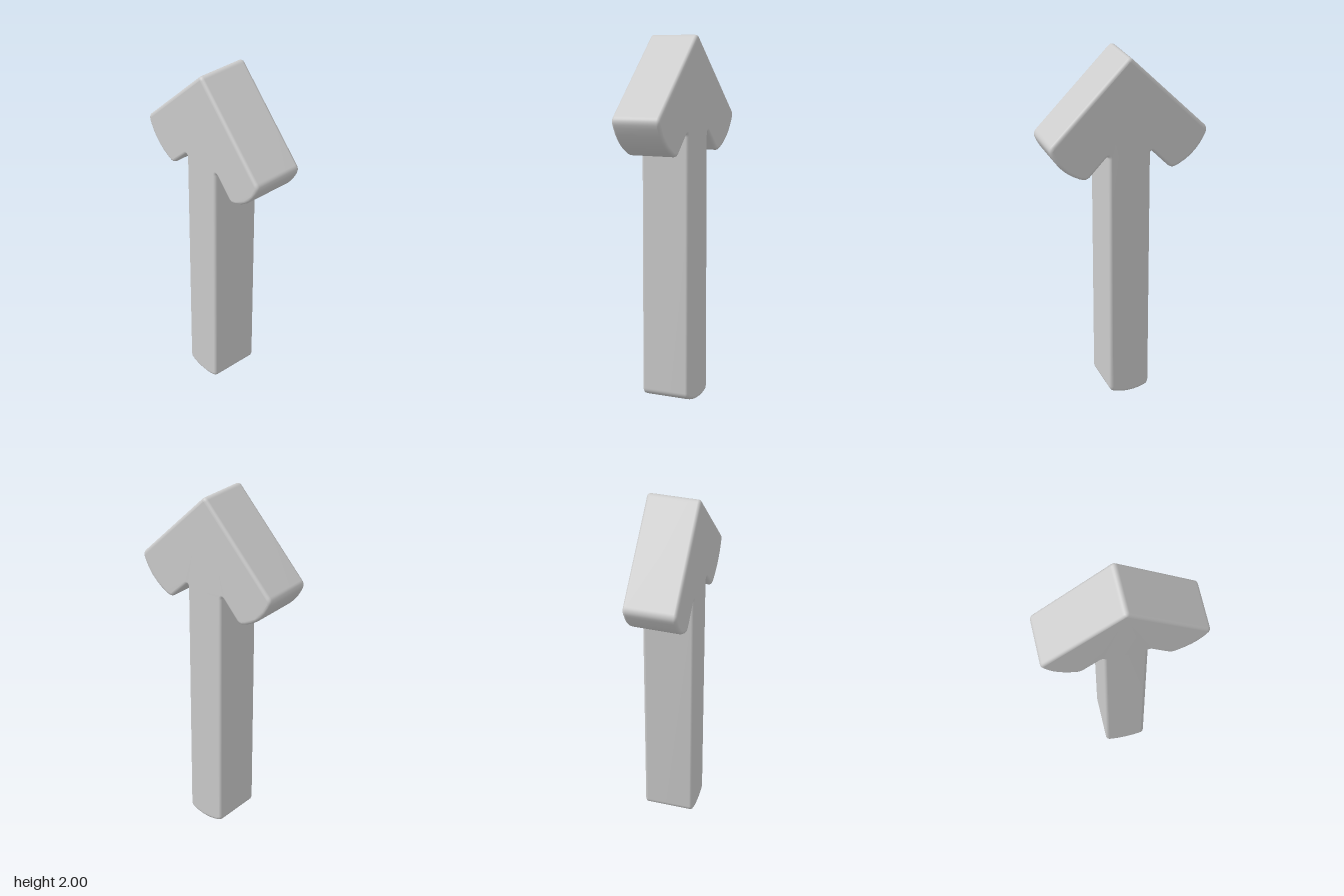
import * as THREE from 'three';
import { mergeVertices } from 'three/addons/utils/BufferGeometryUtils.js';

const DEPTH = 0.286;
const BEVEL = 0.018;

// Points along a bowed edge, without its two end points
function bow(a, control, b, n) {
  const v = (p) => new THREE.Vector2(p[0], p[1]);
  return new THREE.QuadraticBezierCurve(v(a), v(control), v(b))
    .getPoints(n).slice(1, -1).map((p) => [p.x, p.y, 0]);
}

// Polygon of [x, y, cut]; each corner with a cut is rounded off
function roundedOutline(points) {
  const out = [];
  points.forEach(([x, y, cut], i) => {
    const p = new THREE.Vector2(x, y);
    if (!cut) { out.push(p); return; }
    const toward = (q) => new THREE.Vector2(q[0], q[1]).sub(p).setLength(cut).add(p);
    const prev = points[(i + points.length - 1) % points.length];
    const next = points[(i + 1) % points.length];
    out.push(...new THREE.QuadraticBezierCurve(toward(prev), p, toward(next)).getPoints(6));
  });
  return out;
}

export function createModel() {
  const group = new THREE.Group();
  group.name = 'arrow';

  // Left half of the outline, from the tip down to the foot
  const shoulder = [0.447, 1.562, 0.028];
  const barb = [0.239, 1.358, 0.028];
  const heel = [0.117, 0.027, 0.025];
  const half = [
    shoulder,
    ...bow(shoulder, [0.392, 1.406], barb, 7),
    barb,
    [0.117, 1.485, 0.025],
    heel,
    ...bow(heel, [0.06, 0], [0, 0], 4),
  ];
  const mirrored = half.map(([x, y, cut]) => [-x, y, cut]).reverse();
  const outline = roundedOutline([[0, 2.009, 0.026], ...half, [0, 0, 0], ...mirrored]);

  // Thick plate with softened edges
  const extruded = new THREE.ExtrudeGeometry(new THREE.Shape(outline), {
    depth: DEPTH - 2 * BEVEL,
    bevelEnabled: true,
    bevelThickness: BEVEL,
    bevelSize: BEVEL,
    bevelOffset: -BEVEL,
    bevelSegments: 4,
  });
  extruded.translate(0, 0, BEVEL - DEPTH / 2);
  extruded.deleteAttribute('uv');
  extruded.deleteAttribute('normal');
  const geometry = mergeVertices(extruded, 1e-5);
  geometry.computeVertexNormals();

  const arrow = new THREE.Mesh(geometry, new THREE.MeshStandardMaterial({ color: 0xcccccc }));
  arrow.name = 'arrowBody';
  group.add(arrow);
  return group;
}
